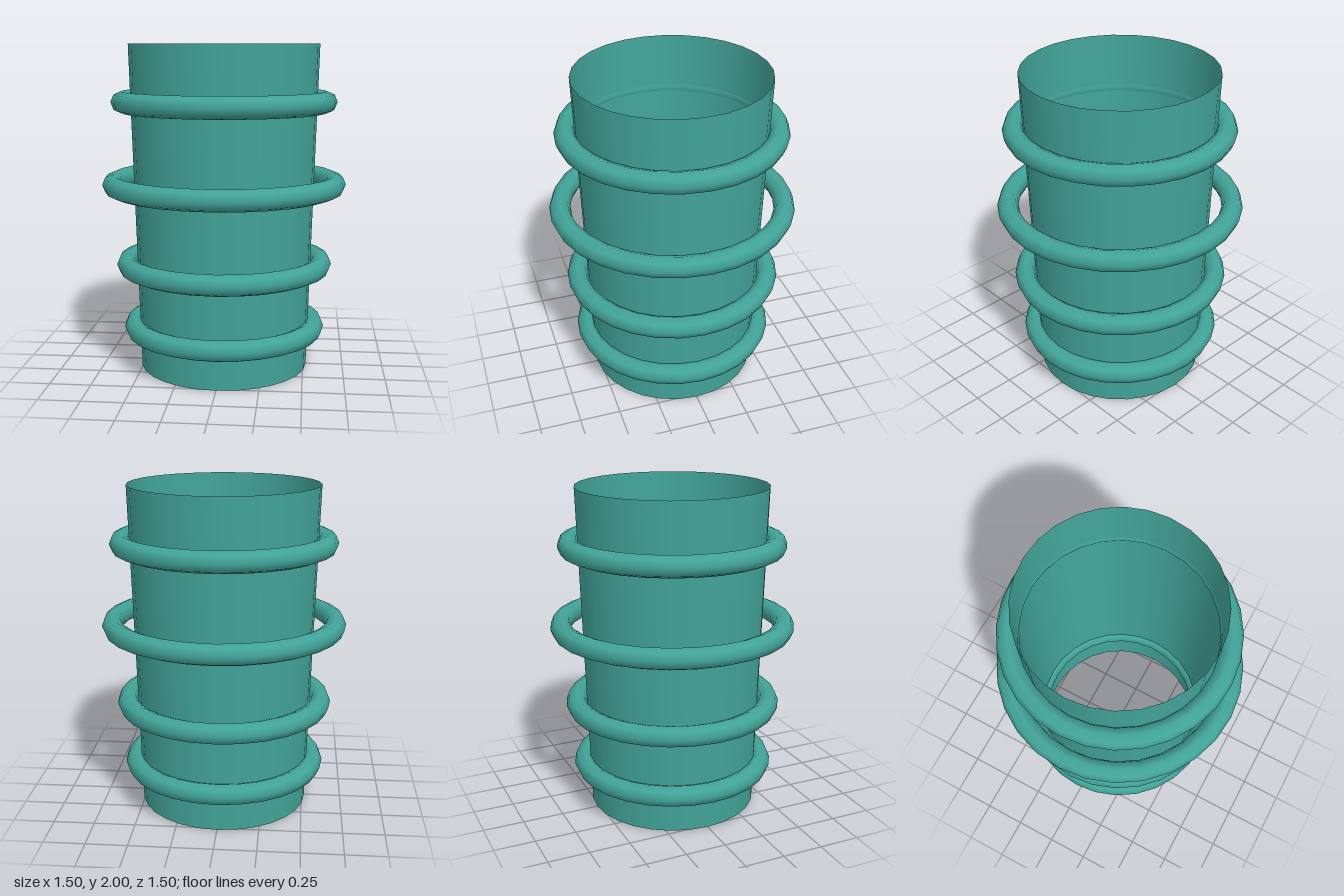
import * as THREE from 'three';

const SIDES = 28;

export function createModel() {
  const group = new THREE.Group();
  const teal = new THREE.MeshStandardMaterial({ color: 0x42a499, side: THREE.DoubleSide });
  teal.name = 'teal';

  // Open, slightly flared sleeve
  const sleeve = new THREE.Mesh(new THREE.CylinderGeometry(0.578, 0.52, 2, SIDES, 1, true), teal);
  sleeve.name = 'sleeve';
  sleeve.position.y = 1;
  group.add(sleeve);

  // Rings around the sleeve: height, centre-line radius
  const rings = [
    ['bottomRing', 0.255, 0.562],
    ['lowerRing', 0.655, 0.603],
    ['floatingRing', 1.153, 0.684],
    ['topRing', 1.654, 0.624],
  ];
  for (const [name, y, radius] of rings) {
    const geometry = new THREE.TorusGeometry(radius, 0.064, 8, SIDES).rotateX(-Math.PI / 2);
    const ring = new THREE.Mesh(geometry, teal);
    ring.name = name;
    ring.position.y = y;
    group.add(ring);
  }
  return group;
}
